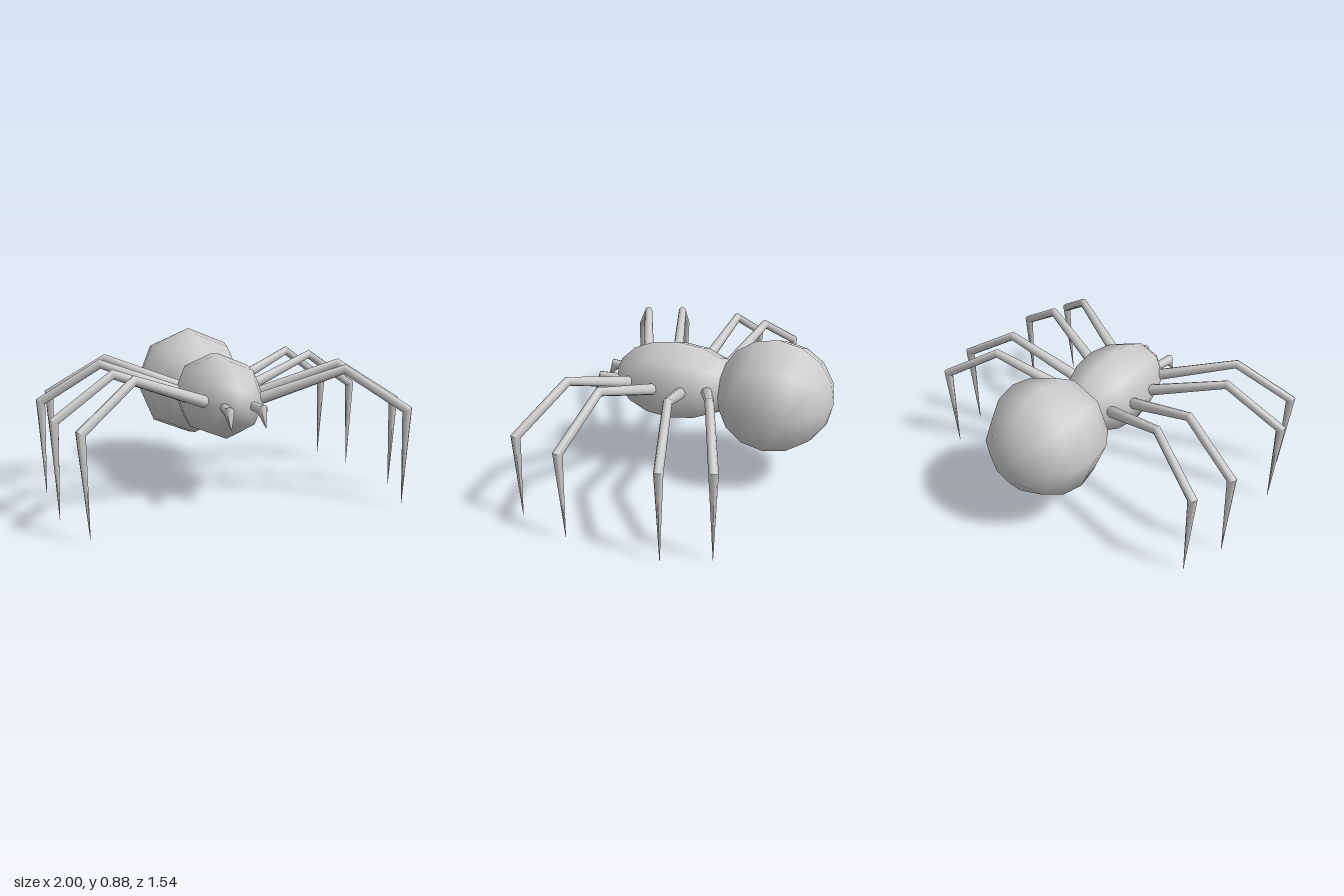
import * as THREE from 'three';
import { toCreasedNormals } from 'three/addons/utils/BufferGeometryUtils.js';

const material = new THREE.MeshStandardMaterial({ color: 0xcccccc });
const SIDES = 8;

// Jointed limb: mitred rings along a path, tapering, with a flat start cap
function limbGeometry(path, radii) {
  const pts = path.map((p) => new THREE.Vector3(...p));
  const out = pts[1].clone().sub(pts[0]).setY(0).normalize();
  const side = new THREE.Vector3(0, 1, 0).cross(out);
  const positions = [...path[0]];
  const index = [];
  pts.forEach((p, i) => {
    const before = p.clone().sub(pts[Math.max(i - 1, 0)]).normalize();
    const after = pts[Math.min(i + 1, pts.length - 1)].clone().sub(p).normalize();
    const tangent = before.clone().add(after).normalize();
    const inner = i > 0 && i < pts.length - 1;
    const mitre = inner ? 1 / tangent.dot(before) : 1;
    const up = tangent.clone().cross(side).normalize();
    for (let j = 0; j < SIDES; j++) {
      const a = (j / SIDES) * Math.PI * 2;
      const v = p.clone()
        .addScaledVector(side, Math.cos(a) * radii[i])
        .addScaledVector(up, Math.sin(a) * radii[i] * mitre);
      positions.push(v.x, v.y, v.z);
      const k = (j + 1) % SIDES;
      const base = 1 + i * SIDES;
      if (i === 0) index.push(0, base + k, base + j);
      if (i < pts.length - 1) {
        const next = base + SIDES;
        index.push(base + j, base + k, next + k, base + j, next + k, next + j);
      }
    }
  });
  const geo = new THREE.BufferGeometry();
  geo.setAttribute('position', new THREE.Float32BufferAttribute(positions, 3));
  geo.setIndex(index);
  return toCreasedNormals(geo, 0.9);
}

export function createModel() {
  const model = new THREE.Group();
  const add = (name, geometry) => {
    const mesh = new THREE.Mesh(geometry, material);
    mesh.name = name;
    model.add(mesh);
    return mesh;
  };

  // Body: two low-sided spheroids with their poles along z
  const ball = (r, length) =>
    new THREE.SphereGeometry(1, 8, 8).rotateX(Math.PI / 2).scale(r, r, length);
  add('thorax', ball(0.24, 0.38)).position.set(0, 0.56, 0.16);
  const abdomen = add('abdomen', ball(0.338, 0.338));
  abdomen.position.set(0, 0.547, -0.43);
  abdomen.rotation.x = -0.025;

  // Legs: root, knee, ankle, foot for the +x side
  const legs = [
    [[0.16, 0.58, 0.41], [0.58, 0.745, 0.575], [0.875, 0.535, 0.74], [0.85, 0.02, 0.77]],
    [[0.2, 0.575, 0.24], [0.645, 0.745, 0.36], [0.965, 0.535, 0.45], [0.955, 0.02, 0.455]],
    [[0.2, 0.575, 0.075], [0.645, 0.745, -0.02], [0.975, 0.535, -0.092], [0.965, 0, -0.08]],
    [[0.16, 0.58, -0.07], [0.58, 0.745, -0.22], [0.9, 0.535, -0.345], [0.885, 0.01, -0.34]],
  ];
  const fang = [[0.075, 0.56, 0.46], [0.093, 0.56, 0.605], [0.095, 0.47, 0.655]];

  for (const s of [1, -1]) {
    const label = s > 0 ? 'left' : 'right';
    const mirror = (path) => path.map(([x, y, z]) => [s * x, y, z]);
    legs.forEach((path, i) => {
      add(`${label}Leg${i + 1}`, limbGeometry(mirror(path), [0.034, 0.024, 0.025, 0.001]));
    });
    add(`${label}Fang`, limbGeometry(mirror(fang), [0.024, 0.029, 0.001]));
  }
  return model;
}
